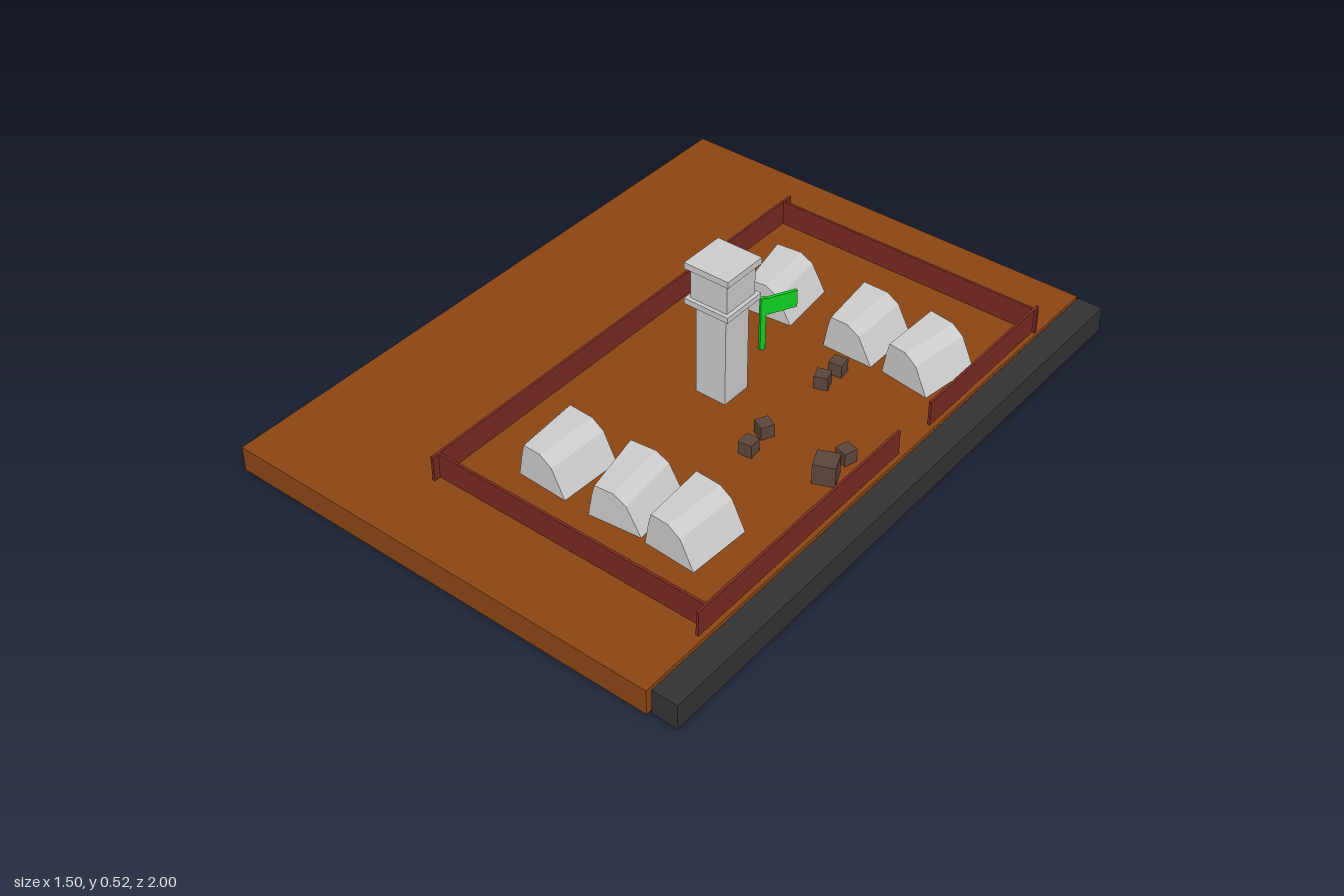
import * as THREE from 'three';

const material = (color) => new THREE.MeshStandardMaterial({ color, flatShading: true });
const grey = material(0xcccccc);
const earth = material(0x8b4513);
const asphalt = material(0x333333);
const brick = material(0x7a2a22);
const rubble = material(0x5c4439);
const green = material(0x10cc20);

const GROUND = 0.08;

// Box given by its limits on each axis
function block(parent, name, mat, [x0, x1], [y0, y1], [z0, z1]) {
  const mesh = new THREE.Mesh(new THREE.BoxGeometry(x1 - x0, y1 - y0, z1 - z0), mat);
  mesh.position.set((x0 + x1) / 2, (y0 + y1) / 2, (z0 + z1) / 2);
  mesh.name = name;
  parent.add(mesh);
  return mesh;
}

// Faceted vault whose left flank tapers towards the front
function hutGeometry() {
  const profile = new THREE.Shape([
    [-0.1, 0], [-0.08, 0.075], [-0.066, 0.11], [0.015, 0.11], [0.055, 0.085], [0.1, 0],
  ].map(([x, y]) => new THREE.Vector2(x, y)));
  const geometry = new THREE.ExtrudeGeometry(profile, { depth: 0.2, bevelEnabled: false });
  geometry.translate(0, 0, -0.1);
  const p = geometry.attributes.position;
  for (let i = 0; i < p.count; i++) {
    if (p.getZ(i) > 0 && p.getX(i) < 0) p.setX(i, p.getX(i) * 0.65);
  }
  geometry.computeVertexNormals();
  return geometry;
}

export function createModel() {
  const model = new THREE.Group();
  model.name = 'walledCamp';

  // Ground slab and the road beside it
  block(model, 'ground', earth, [-0.75, 0.66], [0, GROUND], [-1, 1]);
  block(model, 'road', asphalt, [0.667, 0.747], [0, GROUND], [-0.995, 0.99]);

  // Perimeter wall with a gateway on the road side
  const wall = new THREE.Group();
  wall.name = 'perimeterWall';
  const wallY = [GROUND, 0.16];
  block(wall, 'farWall', brick, [-0.256, -0.248], wallY, [-0.805, 0.775]);
  block(wall, 'backWall', brick, [-0.252, 0.655], wallY, [-0.774, -0.766]);
  block(wall, 'frontWall', brick, [-0.252, 0.645], wallY, [0.746, 0.754]);
  block(wall, 'gateWallBack', brick, [0.638, 0.646], wallY, [-0.79, -0.23]);
  block(wall, 'gateWallFront', brick, [0.638, 0.646], wallY, [-0.08, 0.785]);
  model.add(wall);

  // Watchtower: stacked square sections [name, half width, bottom, top]
  const tower = new THREE.Group();
  tower.name = 'watchtower';
  tower.position.set(0.105, 0, -0.002);
  [
    ['shaft', 0.051, GROUND, 0.385],
    ['platform', 0.074, 0.385, 0.403],
    ['cabin', 0.062, 0.403, 0.5],
    ['roof', 0.074, 0.5, 0.52],
  ].forEach(([name, r, y0, y1]) => block(tower, name, grey, [-r, r], [y0, y1], [-r, r]));
  model.add(tower);

  // Huts in two rows [x, z, turn]
  const hutShape = hutGeometry();
  [
    [-0.027, -0.445, 0.1], [0.275, -0.44, 0], [0.488, -0.435, -0.14],
    [-0.025, 0.515, -0.04], [0.208, 0.515, 0.1], [0.405, 0.515, -0.05],
  ].forEach(([x, z, turn], i) => {
    const hut = new THREE.Mesh(hutShape, grey);
    hut.name = `hut${i + 1}`;
    hut.position.set(x, GROUND, z);
    hut.rotation.y = turn;
    model.add(hut);
  });

  // Scattered crates [x, z, size, turn]
  [
    [0.315, -0.265, 0.042, 0.15], [0.315, -0.19, 0.042, 0.35],
    [0.315, 0.08, 0.042, -0.45], [0.327, 0.165, 0.042, 0.1],
    [0.55, 0.03, 0.042, -0.3], [0.55, 0.122, 0.065, 0.4],
  ].forEach(([x, z, s, turn], i) => {
    const crate = block(model, `crate${i + 1}`, rubble, [-s / 2, s / 2], [GROUND, GROUND + s], [-s / 2, s / 2]);
    crate.position.x = x;
    crate.position.z = z;
    crate.rotation.y = turn;
  });

  // Flag on its pole
  const flag = new THREE.Group();
  flag.name = 'flag';
  flag.position.set(0.082, 0, -0.218);
  flag.rotation.y = 1.1;
  block(flag, 'flagPole', green, [-0.008, 0.008], [GROUND, 0.26], [-0.006, 0.006]);
  block(flag, 'flagCloth', green, [0, 0.107], [0.2, 0.257], [-0.005, 0.005]);
  model.add(flag);

  return model;
}
